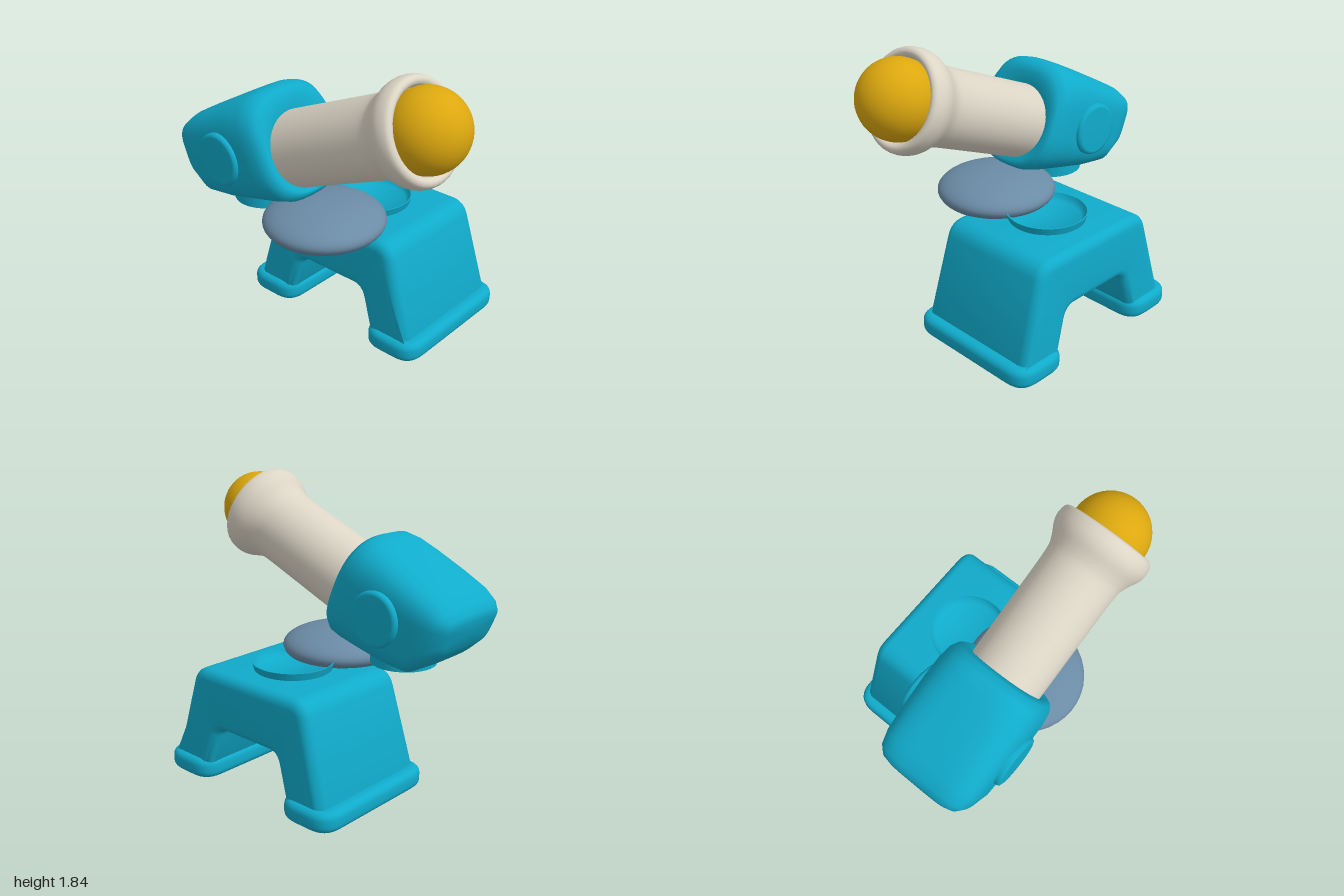
import * as THREE from 'three';
import { toCreasedNormals } from 'three/addons/utils/BufferGeometryUtils.js';

const paint = (name, color) => {
  const m = new THREE.MeshStandardMaterial({ color });
  m.name = name;
  return m;
};
const V = (x, y) => new THREE.Vector2(x, y);

// polygon with rounded corners; each point is [x, y, cornerRadius]
function roundedShape(points) {
  const shape = new THREE.Shape();
  const n = points.length;
  points.forEach(([x, y, r], i) => {
    const p = V(x, y);
    const toward = (q) => V(q[0], q[1]).sub(p).setLength(r).add(p);
    const a = toward(points[(i + n - 1) % n]);
    const b = toward(points[(i + 1) % n]);
    if (i === 0) shape.moveTo(a.x, a.y);
    else shape.lineTo(a.x, a.y);
    shape.quadraticCurveTo(x, y, b.x, b.y);
  });
  shape.closePath();
  return shape;
}

// extrusion centred on z, total depth including the rounded bevel
function softExtrude(shape, depth, bevel) {
  const g = new THREE.ExtrudeGeometry(shape, {
    depth: depth - 2 * bevel, bevelThickness: bevel, bevelSize: bevel,
    bevelOffset: -bevel, bevelSegments: 5, curveSegments: 8,
  });
  return g.translate(0, 0, -depth / 2 + bevel);
}

// skin over superellipse sections along x: [x, centreY, halfY, halfZ, exponent]
function loft(sections, sides) {
  const pos = [], index = [];
  const bend = (t, n) => Math.sign(t) * Math.pow(Math.abs(t), 2 / n);
  sections.forEach(([x, cy, hy, hz, n], i) => {
    for (let j = 0; j < sides; j++) {
      const a = (j / sides) * Math.PI * 2;
      pos.push(x, cy + hy * bend(Math.sin(a), n), hz * bend(Math.cos(a), n));
      if (i === sections.length - 1) continue;
      const p = i * sides + j, q = i * sides + (j + 1) % sides;
      index.push(p, p + sides, q, q, p + sides, q + sides);
    }
  });
  const g = new THREE.BufferGeometry();
  g.setAttribute('position', new THREE.Float32BufferAttribute(pos, 3));
  g.setIndex(index);
  g.computeVertexNormals();
  return g;
}

export function createModel() {
  const model = new THREE.Group();
  const cyan = paint('cyan', 0x10abcb);
  const cream = paint('cream', 0xdcd5c6);
  const gold = paint('gold', 0xdca80f);
  const steel = paint('steelBlue', 0x6b8ba5);
  const add = (parent, name, geometry, material, x = 0, y = 0, z = 0) => {
    const mesh = new THREE.Mesh(geometry, material);
    mesh.name = name;
    mesh.position.set(x, y, z);
    parent.add(mesh);
    return mesh;
  };

  // base: bridge-shaped stand, slightly narrower in depth towards the top
  const baseZ = -0.18;
  const half = [[0.65, 0.06, 0.02], [0.46, 0.725, 0.1]];
  const inner = [[0.25, 0.36, 0.06], [0.34, 0.06, 0.02]];
  const mirror = (pts) => pts.map(([x, y, r]) => [-x, y, r]).reverse();
  const bridge = softExtrude(
    roundedShape([...half, ...mirror(half), ...mirror(inner), ...inner]), 0.87, 0.06);
  const bp = bridge.attributes.position;
  for (let i = 0; i < bp.count; i++) bp.setZ(i, bp.getZ(i) * (1.01 - 0.11 * bp.getY(i)));
  add(model, 'stand', toCreasedNormals(bridge, 0.7), cyan, 0, 0, baseZ);

  // feet: long rounded pads
  const w = 0.195, d = 0.472;
  const pad = softExtrude(roundedShape(
    [[-w, -d, 0.14], [w, -d, 0.14], [w, d, 0.14], [-w, d, 0.14]]), 0.13, 0.045);
  pad.rotateX(-Math.PI / 2);
  const padGeometry = toCreasedNormals(pad, 0.7);
  for (const s of [-1, 1])
    add(model, s > 0 ? 'leftFoot' : 'rightFoot', padGeometry, cyan, s * 0.505, 0.065, baseZ);

  // shallow socket on top of the stand
  const socket = new THREE.LatheGeometry([
    V(0.235, 0.70), V(0.25, 0.755), V(0.255, 0.772), V(0.246, 0.772), V(0.235, 0.745),
    V(0.215, 0.727), V(0, 0.727)], 40);
  add(model, 'socket', toCreasedNormals(socket, 0.9), cyan, 0, 0, baseZ);

  // flattened swivel ball
  const swivel = new THREE.SphereGeometry(1, 40, 24).scale(0.38, 0.128, 0.382);
  add(model, 'swivelDisc', swivel, steel, 0, 0.773, 0.272);

  // neck under the housing
  add(model, 'neck', new THREE.CylinderGeometry(0.205, 0.205, 0.14, 32), cyan, -0.505, 0.84, 0.27);

  // tilted upper assembly
  const cannon = new THREE.Group();
  cannon.name = 'cannon';
  cannon.position.set(-0.545, 1.12, 0.268);
  cannon.rotation.z = THREE.MathUtils.degToRad(22.5);
  model.add(cannon);

  // housing: boxy at the back, rounder at the mouth
  add(cannon, 'housing', loft([
    [-0.425, 0.1, 0, 0, 4],
    [-0.425, 0.1, 0.09, 0.22, 4],
    [-0.405, 0.095, 0.135, 0.27, 4],
    [-0.36, 0.065, 0.195, 0.31, 4],
    [-0.27, 0.025, 0.265, 0.333, 4],
    [-0.1, 0.01, 0.3, 0.34, 3.8],
    [0.1, 0, 0.33, 0.345, 3.4],
    [0.24, -0.01, 0.352, 0.345, 3],
    [0.32, -0.02, 0.355, 0.335, 2.8],
    [0.365, -0.03, 0.33, 0.312, 2.6],
    [0.38, -0.045, 0.29, 0.28, 2.3],
    [0.36, -0.06, 0.24, 0.24, 2],
    [0.3, -0.07, 0, 0, 2],
  ], 48), cyan);

  // round pivot caps on both sides
  const cap = new THREE.LatheGeometry([
    V(0.17, -0.06), V(0.17, 0.012), V(0.162, 0.027), V(0.145, 0.033), V(0, 0.033)], 32);
  for (const s of [-1, 1])
    add(cannon, s > 0 ? 'frontPivotCap' : 'backPivotCap', cap, cyan, 0, 0, s * 0.338)
      .rotation.x = s * Math.PI / 2;

  // barrel with a flared, rolled muzzle
  const barrelY = -0.073;
  const profile = new THREE.SplineCurve([
    V(0.24, 0.85), V(0.242, 1.08), V(0.26, 1.16), V(0.298, 1.235), V(0.31, 1.29),
    V(0.3, 1.345), V(0.272, 1.362), V(0.245, 1.345), V(0.235, 1.3)]).getPoints(32);
  const barrel = new THREE.LatheGeometry([V(0.24, 0.25), ...profile, V(0, 1.28)], 40);
  add(cannon, 'barrel', barrel, cream, 0, barrelY, 0).rotation.z = -Math.PI / 2;

  // ball resting in the muzzle
  add(cannon, 'ball', new THREE.SphereGeometry(0.24, 40, 28), gold, 1.367, barrelY, 0);

  return model;
}
